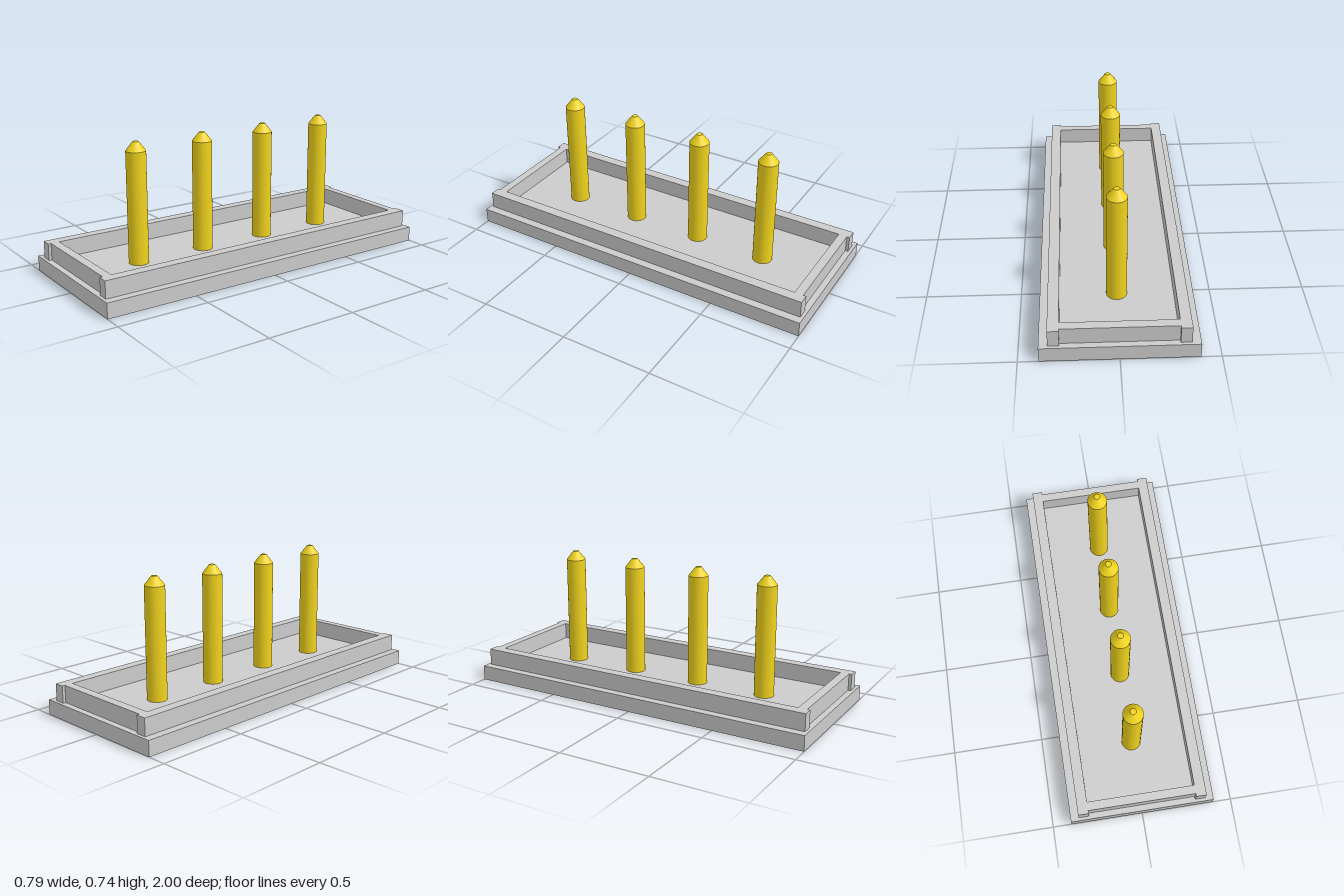
import * as THREE from 'three';

const BASE_TOP = 0.083;
const RIM_TOP = 0.176;

export function createModel() {
  const model = new THREE.Group();
  const grey = new THREE.MeshStandardMaterial({ color: 0xcccccc });
  const yellow = new THREE.MeshStandardMaterial({ color: 0xf0d31c });

  const add = (parent, name, geometry, material, y) => {
    const mesh = new THREE.Mesh(geometry, material);
    mesh.name = name;
    mesh.position.y = y;
    parent.add(mesh);
    return mesh;
  };

  // Flat base plate
  add(model, 'basePlate', new THREE.BoxGeometry(0.794, BASE_TOP, 2), grey, BASE_TOP / 2);

  // Raised rim: the short ends are recessed between the corners
  const x = 0.352, xi = 0.295, z = 0.983, zNotch = 0.967, zi = 0.92;
  const toPoints = (list) => list.map(([a, b]) => new THREE.Vector2(a, b));
  const outline = new THREE.Shape(toPoints([
    [-x, -z], [-xi, -z], [-xi, -zNotch], [xi, -zNotch], [xi, -z], [x, -z],
    [x, z], [xi, z], [xi, zNotch], [-xi, zNotch], [-xi, z], [-x, z],
  ]));
  outline.holes.push(new THREE.Path(toPoints([[-xi, -zi], [-xi, zi], [xi, zi], [xi, -zi]])));
  const rim = new THREE.ExtrudeGeometry(outline, { depth: RIM_TOP - BASE_TOP, bevelEnabled: false });
  rim.rotateX(-Math.PI / 2);
  add(model, 'rim', rim, grey, BASE_TOP);

  // Row of four contact pins, each a shaft with a tapered tip
  const radius = 0.0535, shoulder = 0.688, tip = 0.736;
  const shaft = new THREE.CylinderGeometry(radius, radius, shoulder - BASE_TOP, 32, 1, true);
  const taper = new THREE.CylinderGeometry(0.016, radius, tip - shoulder, 32);
  for (let i = 0; i < 4; i++) {
    const pin = new THREE.Group();
    pin.name = `pin${i + 1}`;
    pin.position.z = (1.5 - i) * 0.403;
    add(pin, 'pinShaft', shaft, yellow, (shoulder + BASE_TOP) / 2);
    add(pin, 'pinTip', taper, yellow, (tip + shoulder) / 2);
    model.add(pin);
  }

  return model;
}
